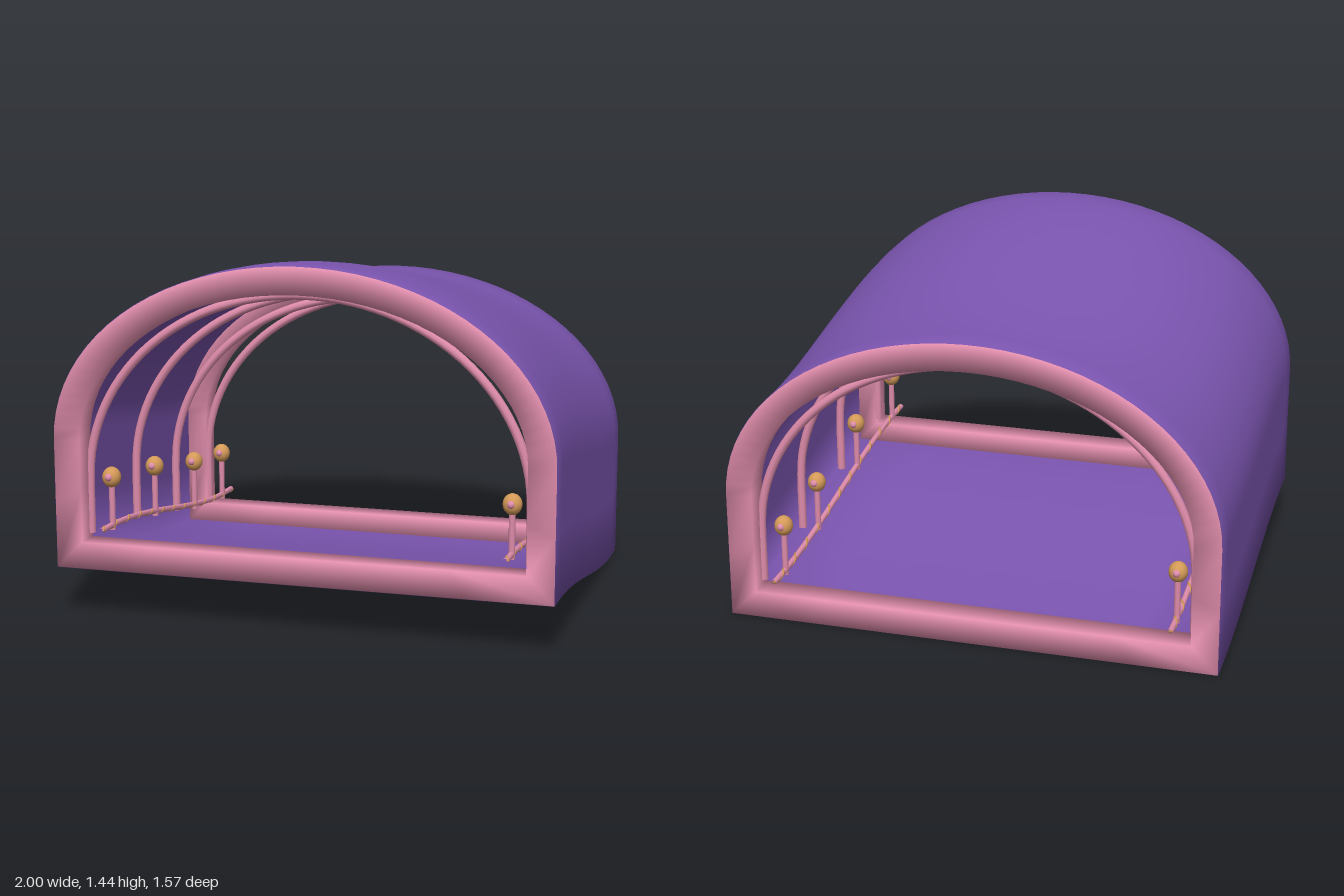
import * as THREE from 'three';

const purple = new THREE.MeshStandardMaterial({ color: 0x7b55b0, name: 'purple shell' });
const pink = new THREE.MeshStandardMaterial({ color: 0xe08dab, name: 'pink trim' });
const orange = new THREE.MeshStandardMaterial({ color: 0xd49a58, name: 'amber' });

const HALF = 0.785; // half the tunnel length
const RIM = 0.11; // width and depth of the end frames

// The whole tunnel rises in a gentle S from back to front
function lift(z) {
  return 0.2 * THREE.MathUtils.smoothstep(z, -HALF, HALF);
}

// Arch outline, counter-clockwise from the lower right corner
function archProfile(a, base, rise, spring, segments = 40) {
  const points = [[a, base], [a, (base + spring) / 2]];
  for (let i = 0; i <= segments; i++) {
    const t = (Math.PI * i) / segments;
    points.push([a * Math.cos(t), spring + rise * Math.sin(t)]);
  }
  points.push([-a, (base + spring) / 2], [-a, base]);
  return points;
}

// Closed outline of the tunnel at a given inset, with a divided floor
function tunnelOutline(inset) {
  const a = 1 - inset;
  const points = archProfile(a, inset, 0.72 - inset, 0.52);
  for (let i = 1; i < 6; i++) points.push([-a + (a * i) / 3, inset]);
  return points;
}

// Smooth-shaded ring between two outlines, swept from z0 to z1
function sweptRing(outerInset, innerInset, z0, z1, rows, material) {
  const outer = tunnelOutline(outerInset);
  const inner = tunnelOutline(innerInset);
  const n = outer.length;
  const positions = [];
  const index = [];
  for (let r = 0; r <= rows; r++) {
    const z = z0 + ((z1 - z0) * r) / rows;
    for (const [x, y] of [...outer, ...inner]) positions.push(x, y + lift(z), z);
  }
  const quad = (a, b, c, d) => index.push(a, b, d, b, c, d);
  const id = (r, k) => r * 2 * n + k;
  for (let k = 0; k < n; k++) {
    const k1 = (k + 1) % n;
    for (let r = 0; r < rows; r++) {
      quad(id(r, k), id(r, k1), id(r + 1, k1), id(r + 1, k));
      quad(id(r, n + k1), id(r, n + k), id(r + 1, n + k), id(r + 1, n + k1));
    }
    quad(id(rows, k), id(rows, k1), id(rows, n + k1), id(rows, n + k));
    quad(id(0, k1), id(0, k), id(0, n + k), id(0, n + k1));
  }
  const geometry = new THREE.BufferGeometry();
  geometry.setAttribute('position', new THREE.Float32BufferAttribute(positions, 3));
  geometry.setIndex(index);
  geometry.computeVertexNormals();
  return new THREE.Mesh(geometry, material);
}

function tube(points, segments, radius, material) {
  const path = new THREE.CatmullRomCurve3(points);
  return new THREE.Mesh(new THREE.TubeGeometry(path, segments, radius, 8), material);
}

function add(parent, name, mesh) {
  mesh.name = name;
  parent.add(mesh);
  return mesh;
}

export function createModel() {
  const model = new THREE.Group();
  model.name = 'archedTunnel';

  // Thin shell with a thick frame at each end
  add(model, 'tunnelShell', sweptRing(0, 0.025, -HALF + 0.003, HALF - 0.003, 14, purple));
  add(model, 'frontFrame', sweptRing(0.002, RIM, HALF - RIM, HALF, 1, pink));
  add(model, 'backFrame', sweptRing(0.002, RIM, -HALF, -HALF + RIM, 1, pink));

  // Slender ribs standing inside the shell
  for (const z of [0.69, 0.2, -0.27, -0.7]) {
    const points = archProfile(0.888, 0.13, 0.77, 0.35, 24)
      .map(([x, y]) => new THREE.Vector3(x, y + lift(z), z));
    add(model, 'rib', tube(points, 64, 0.018, pink));
  }

  // Low rails with lamp posts along both walls
  const postGeometry = new THREE.CylinderGeometry(0.013, 0.013, 0.2, 8);
  const headGeometry = new THREE.SphereGeometry(0.038, 16, 12);
  const budGeometry = new THREE.SphereGeometry(0.016, 10, 8);
  for (const side of [1, -1]) {
    const x = side * 0.81;
    const railPoints = [];
    const vinePoints = [];
    for (let i = 0; i <= 120; i++) {
      const z = HALF - (2 * HALF * i) / 120;
      const turn = (i * Math.PI) / 5;
      const y = 0.16 + lift(z);
      if (i % 10 === 0) railPoints.push(new THREE.Vector3(x, y, z));
      vinePoints.push(new THREE.Vector3(x + 0.009 * Math.cos(turn), y + 0.009 * Math.sin(turn), z));
    }
    add(model, 'rail', tube(railPoints, 40, 0.012, pink));
    add(model, 'railVine', tube(vinePoints, 240, 0.005, orange));

    for (const z of [0.66, 0.19, -0.29, -0.66]) {
      const lamp = new THREE.Group();
      lamp.name = 'lampPost';
      lamp.position.set(x, lift(z), z);
      add(lamp, 'post', new THREE.Mesh(postGeometry, pink)).position.y = 0.24;
      const head = add(lamp, 'lampHead', new THREE.Mesh(headGeometry, orange));
      head.position.y = 0.355;
      head.scale.y = 1.1;
      for (const end of [1, -1]) {
        add(lamp, 'lampBud', new THREE.Mesh(budGeometry, pink)).position.set(0, 0.36, end * 0.03);
      }
      model.add(lamp);
    }
  }
  return model;
}
